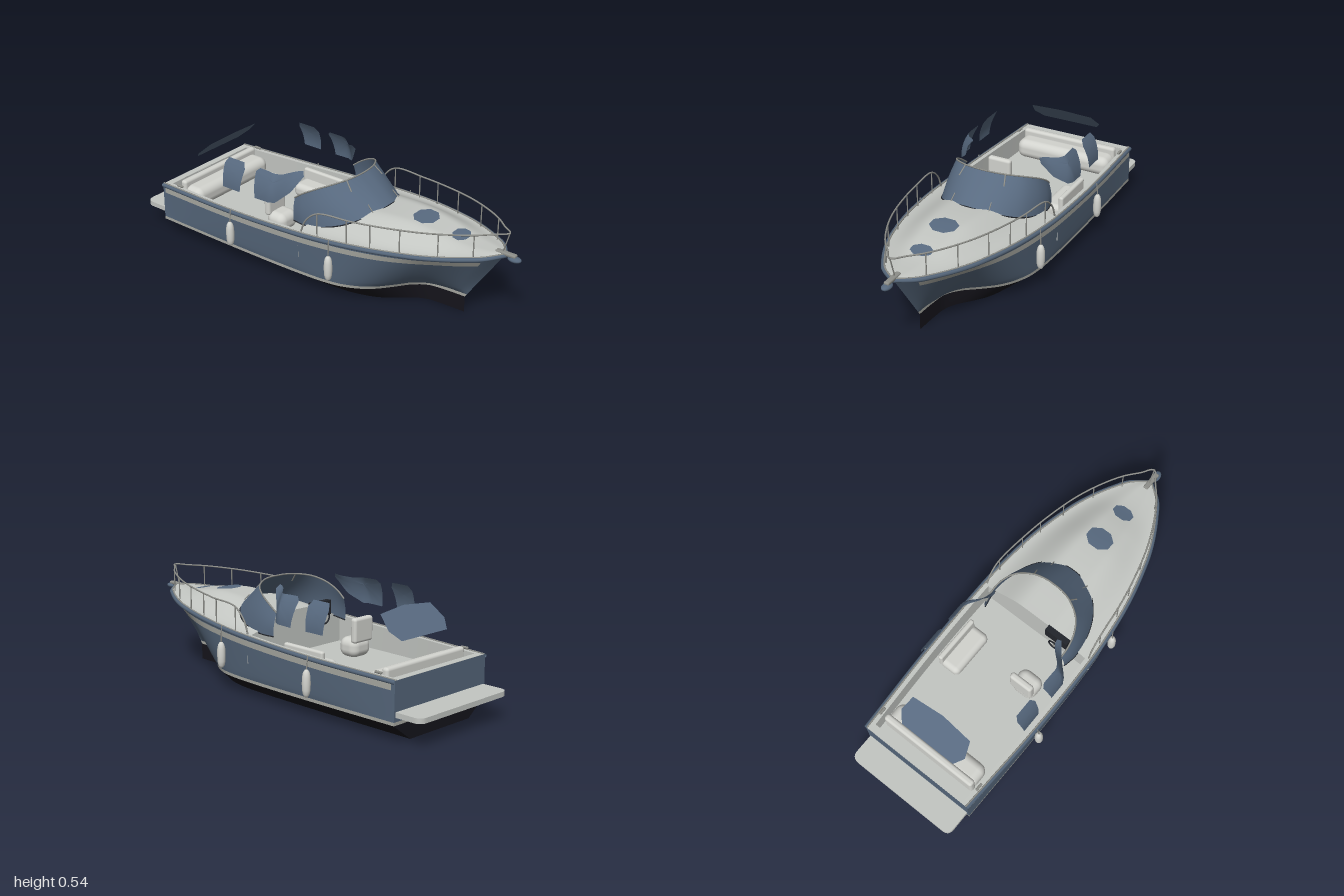
import * as THREE from 'three';
import { RoundedBoxGeometry } from 'three/addons/geometries/RoundedBoxGeometry.js';

const paint = (name, color) => new THREE.MeshStandardMaterial({ name, color, side: THREE.DoubleSide });
const V = (x, y, z) => new THREE.Vector3(x, y, z);
const { lerp, smoothstep } = THREE.MathUtils;

// Smooth interpolation through [x, value] pairs
function spline(t) {
  const slope = i => {
    const a = t[Math.max(i - 1, 0)], b = t[Math.min(i + 1, t.length - 1)];
    return (b[1] - a[1]) / (b[0] - a[0]);
  };
  return x => {
    let i = 0;
    while (i < t.length - 2 && x > t[i + 1][0]) i++;
    const d = t[i + 1][0] - t[i][0], s = Math.min(1, Math.max(0, (x - t[i][0]) / d)), s2 = s * s, s3 = s2 * s;
    return Math.max(0, t[i][1] * (2 * s3 - 3 * s2 + 1) + t[i + 1][1] * (3 * s2 - 2 * s3)
      + d * (slope(i) * (s3 - 2 * s2 + s) + slope(i + 1) * (s3 - s2)));
  };
}

// Surface from a rule P(u, v), both running 0..1
function surface(P, nu, nv) {
  const pos = [], idx = [];
  for (let i = 0; i <= nu; i++) for (let j = 0; j <= nv; j++) {
    const p = P(i / nu, j / nv);
    pos.push(p.x, p.y, p.z);
    if (i < nu && j < nv) {
      const a = i * (nv + 1) + j, b = a + nv + 1;
      idx.push(a, b, a + 1, b, b + 1, a + 1);
    }
  }
  const g = new THREE.BufferGeometry();
  g.setAttribute('position', new THREE.Float32BufferAttribute(pos, 3));
  g.setIndex(idx);
  g.computeVertexNormals();
  return g;
}

// Hull lines; the waterline pinches into a thin forefoot
const STERN = -0.865, BOW = 0.925, FLOOR = 0.175, BULKHEAD = 0.02;
const sheerY = spline([[STERN, 0.275], [-0.4, 0.286], [0, 0.305], [0.4, 0.332], [0.7, 0.352], [BOW, 0.37]]);
const sheerW = spline([[STERN, 0.302], [-0.4, 0.322], [0, 0.323], [0.2, 0.31], [0.4, 0.28], [0.6, 0.226], [0.7, 0.184], [0.8, 0.128], [0.88, 0.068], [BOW, 0]]);
const waterW = spline([[STERN, 0.305], [-0.4, 0.31], [0, 0.305], [0.2, 0.287], [0.3, 0.25], [0.37, 0.2], [0.43, 0.13], [0.48, 0.065], [0.54, 0.02], [0.62, 0.006], [0.73, 0]]);
const crown = spline([[0, 0.075], [0.2, 0.081], [0.45, 0.08], [0.6, 0.056], [0.75, 0.02], [BOW, 0.003]]);

// Hull side: v -2..-1 bottom paint, -1..0 boot stripe, 0..1 full-bodied topsides
function hullPoint(u, v) {
  const xw = lerp(STERN, 0.73, u), xs = lerp(STERN, BOW, u), w = waterW(xw);
  if (v <= -1) return V(xw, 0.08 * (v + 2), w * lerp(0.65, 1, v + 2));
  if (v <= 0) return V(xw + 0.01 * u * (v + 1), 0.08 + 0.015 * (v + 1), w);
  return V(lerp(xw + 0.01 * u, xs, v), lerp(0.095, sheerY(xs), v), lerp(w, sheerW(xs), v ** 0.6));
}
const deckY = (x, z) => sheerY(x) + crown(x) * (1 - smoothstep(Math.abs(z) / (sheerW(x) + 1e-4), 0.25, 0.95));

export function createModel() {
  const blue = paint('hullBlue', 0x55667a);
  const glass = paint('tintedGlass', 0x586a80);
  const white = paint('deckWhite', 0xc3c6c2);
  const stripe = paint('stripeGrey', 0xa8a9a2);
  const bottom = paint('bottomPaint', 0x15141b);
  const metal = paint('railMetal', 0x8d8e89);
  const black = paint('consoleBlack', 0x22252b);
  const cushion = paint('cushionWhite', 0xd2d3ce);

  const boat = new THREE.Group();
  boat.name = 'motorBoat';
  const add = (name, geo, mat, x = 0, y = 0, z = 0) => {
    const m = new THREE.Mesh(geo, mat);
    m.name = name;
    m.position.set(x, y, z);
    boat.add(m);
    return m;
  };
  const tube = (name, pts, r, mat) =>
    add(name, new THREE.TubeGeometry(new THREE.CatmullRomCurve3(pts), pts.length * 6, r, 8), mat);
  const pad = (name, w, h, d, x, y, z, mat = cushion) =>
    add(name, new RoundedBoxGeometry(w, h, d, 4, Math.min(w, h, d) * 0.4), mat, x, y, z);

  // Hull sides and transom in three bands
  for (const [name, a, b, mat, n] of [['bottomHull', -2, -1, bottom, 2], ['bootStripe', -1, 0, stripe, 1], ['topsides', 0, 1, blue, 16]]) {
    for (const s of [1, -1]) add(name, surface((u, v) => {
      const p = hullPoint(u, lerp(a, b, v));
      p.z *= s;
      return p;
    }, 80, n), mat);
    add(name + 'Transom', surface((u, v) => {
      const p = hullPoint(0, lerp(a, b, v));
      p.z *= 2 * u - 1;
      return p;
    }, 1, n), mat);
  }

  for (const s of [1, -1]) {
    // Painted side stripe and rub rail
    add('sideStripe', surface((u, v) => {
      const p = hullPoint(lerp(0.01, 0.969, u), lerp(lerp(0.76, 0.78, u), lerp(0.93, 0.88, u), v));
      p.z = s * (p.z + 0.004);
      return p;
    }, 70, 2), stripe);
    const edge = [];
    for (let i = 0; i <= 28; i++) {
      const x = lerp(STERN, BOW, i / 28);
      edge.push(V(x, sheerY(x) - 0.008, s * sheerW(x)));
    }
    tube('rubRail', edge, 0.01, blue);
    tube('toeRail', edge.map(p => V(p.x, p.y + 0.009, p.z - s * Math.min(0.006, Math.abs(p.z)))), 0.004, metal);

    // Cockpit side deck, lining and floor
    const inner = x => sheerW(x) - 0.03;
    const cx = u => lerp(STERN, BULKHEAD, u);
    add('sideDeck', surface((u, v) => V(cx(u), sheerY(cx(u)), s * lerp(inner(cx(u)), sheerW(cx(u)), v)), 20, 1), white);
    add('cockpitLining', surface((u, v) => V(cx(u), lerp(FLOOR, sheerY(cx(u)), v), s * inner(cx(u))), 20, 1), white);
    add('cockpitFloor', surface((u, v) => V(cx(u), FLOOR, s * v * inner(cx(u))), 20, 1), white);
  }
  add('sternDeck', new THREE.BoxGeometry(0.035, 0.005, 0.58), white, -0.846, 0.273, 0);
  add('sternLining', new THREE.BoxGeometry(0.005, 0.1, 0.56), white, -0.83, 0.224, 0);

  // Foredeck with raised cabin top, and the bulkhead below it
  add('foredeck', surface((u, v) => {
    const x = lerp(BULKHEAD, BOW, u), z = (2 * v - 1) * sheerW(x);
    return V(x, deckY(x, z), z);
  }, 48, 40), white);
  add('cabinBulkhead', surface((u, v) => {
    const z = (2 * u - 1) * (sheerW(BULKHEAD) - 0.004);
    return V(BULKHEAD, lerp(FLOOR, deckY(BULKHEAD, z), v), z);
  }, 40, 1), white);

  // Deck hatches following the deck
  for (const [x, rx, rz] of [[0.508, 0.058, 0.07], [0.696, 0.038, 0.056]])
    add('deckHatch', surface((u, v) => {
      const a = -u * Math.PI * 2 + Math.PI / 8;
      const px = x + rx * v * Math.cos(a), pz = rz * v * Math.sin(a);
      return V(px, deckY(px, pz) + 0.005, pz);
    }, 8, 4), glass);

  // Wraparound windshield with frame, mullions and wipers
  const mirror = half => new THREE.CatmullRomCurve3(
    [...half.map(p => V(...p)), ...half.slice(0, -1).reverse().map(p => V(p[0], p[1], -p[2]))]);
  const low = mirror([[-0.07, 0.305, 0.238], [0, 0.308, 0.25], [0.09, 0.322, 0.242], [0.19, 0.35, 0.205], [0.262, 0.382, 0.14], [0.298, 0.403, 0.06], [0.304, 0.408, 0]]);
  const high = mirror([[-0.075, 0.415, 0.222], [-0.03, 0.448, 0.224], [0.03, 0.482, 0.212], [0.09, 0.508, 0.175], [0.135, 0.522, 0.105], [0.15, 0.526, 0.045], [0.152, 0.526, 0]]);
  const screen = (u, v) => {
    const p = low.getPoint(u).lerp(high.getPoint(u), v);
    p.z *= 1 + 0.03 * Math.sin(Math.PI * v);
    return p;
  };
  add('windshield', surface(screen, 60, 8), glass);
  add('windshieldTopFrame', new THREE.TubeGeometry(high, 60, 0.004, 6), metal);
  add('windshieldBase', new THREE.TubeGeometry(low, 60, 0.003, 6), black);
  for (const u of [0.335, 0.665]) {
    tube('windshieldMullion', [0.7, 0.85, 1].map(v => screen(u, v)), 0.0035, metal);
    tube('wiper', [0.02, 0.14, 0.26].map(v => screen(lerp(u, 0.5, 0.25), v).add(V(0.004, 0.003, 0))), 0.0025, metal);
  }

  // Curved side windows, the forward pair bending in toward the windshield
  const panes = [
    [[-0.46, 0.5], [-0.445, 0.527], [-0.35, 0.527], [-0.333, 0.5], [-0.345, 0.39], [-0.45, 0.39]],
    [[-0.268, 0.51], [-0.25, 0.527], [-0.19, 0.526], [-0.13, 0.522], [-0.055, 0.541], [-0.042, 0.52], [-0.09, 0.44], [-0.14, 0.393], [-0.25, 0.39]],
  ];
  for (const s of [1, -1]) for (const pts of panes) {
    const c = pts.reduce((a, p) => [a[0] + p[0] / pts.length, a[1] + p[1] / pts.length], [0, 0]);
    add('sideWindow', surface((u, v) => {
      const k = Math.round(u * pts.length * 4), i = Math.floor(k / 4) % pts.length, f = (k % 4) / 4;
      const a = pts[i], b = pts[(i + 1) % pts.length];
      const x = lerp(c[0], lerp(a[0], b[0], f), v), y = lerp(c[1], lerp(a[1], b[1], f), v);
      const z = 0.304 - 0.045 * Math.max(0, (y - 0.39) / 0.135) ** 2 - 0.068 * smoothstep(x, -0.17, -0.07);
      return V(x, y, s * z);
    }, pts.length * 4, 5), glass);
  }

  // Sloping rear window
  const rear = new THREE.Shape([[-0.15, 0], [0.15, 0], [0.185, 0.06], [0.165, 0.15], [0, 0.168], [-0.165, 0.15], [-0.185, 0.06]]
    .map(p => new THREE.Vector2(...p)));
  const rearWindow = add('rearWindow', new THREE.ShapeGeometry(rear), glass, -0.767, 0.397, 0);
  rearWindow.rotation.set(0, -Math.PI / 2, 0);
  rearWindow.rotateX(-0.83);

  // Swim platform, rounded aft corners
  const plan = new THREE.Shape();
  plan.moveTo(-0.86, -0.295).lineTo(-0.96, -0.295).quadraticCurveTo(-1, -0.295, -1, -0.255)
    .lineTo(-1, 0.255).quadraticCurveTo(-1, 0.295, -0.96, 0.295).lineTo(-0.86, 0.295);
  const platform = new THREE.ExtrudeGeometry(plan, { depth: 0.024, bevelEnabled: false });
  add('swimPlatform', platform.rotateX(Math.PI / 2), white, 0, 0.139, 0);

  // Seating
  pad('sternBench', 0.12, 0.1, 0.52, -0.72, 0.224, 0);
  pad('sternBackrest', 0.035, 0.12, 0.52, -0.768, 0.242, 0);
  pad('sideBench', 0.245, 0.07, 0.11, -0.278, 0.21, -0.2);
  pad('sideBackrest', 0.245, 0.1, 0.025, -0.278, 0.248, -0.245);
  pad('helmSeat', 0.11, 0.095, 0.125, -0.225, 0.222, 0.143);
  pad('helmBackrest', 0.034, 0.12, 0.125, -0.268, 0.31, 0.143);

  // Helm console and wheel
  add('helmConsole', new THREE.BoxGeometry(0.03, 0.07, 0.125), black, 0.005, 0.365, 0.14);
  const wheel = add('steeringWheel', new THREE.TorusGeometry(0.031, 0.004, 8, 24), black, -0.025, 0.325, 0.143);
  wheel.rotation.y = Math.PI / 2;
  const column = add('steeringColumn', new THREE.CylinderGeometry(0.007, 0.007, 0.05, 10), metal, -0.005, 0.325, 0.143);
  column.rotation.z = Math.PI / 2;

  const fender = new THREE.LatheGeometry([[0, -0.064], [0.008, -0.061], [0.015, -0.05], [0.019, -0.03], [0.02, 0], [0.019, 0.03],
    [0.015, 0.05], [0.008, 0.061], [0, 0.064]].map(p => new THREE.Vector2(...p)), 18);
  const railY = spline([[0.12, 0.425], [0.3, 0.437], [0.5, 0.449], [0.7, 0.461], [0.94, 0.474]]);
  for (const s of [1, -1]) {
    // Bow rail with upright posts
    const railAt = x => V(x, railY(x), s * (sheerW(x) - 0.016));
    tube('bowRail', [V(0.03, 0.31, s * 0.306), V(0.055, 0.37, s * 0.305), ...[0.12, 0.3, 0.45, 0.6, 0.72, 0.82, 0.89].map(railAt),
      V(0.928, 0.474, s * 0.014), V(0.936, 0.474, 0)], 0.004, metal);
    for (const x of [0.12, 0.275, 0.39, 0.526, 0.687, 0.82]) {
      const top = railAt(x);
      tube('railPost', [V(x, sheerY(x) - 0.005, top.z), top], 0.003, metal);
    }

    // Fenders on short ropes that lie outside the topsides
    for (const [x, y, z] of [[-0.385, 0.17, 0.338], [0.2, 0.183, 0.322]]) {
      add('fender', fender, cushion, x, y, s * z);
      tube('fenderRope', [V(x, y + 0.06, s * z), V(x, sheerY(x) + 0.005, s * (sheerW(x) + 0.008))], 0.003, metal);
    }
    pad('sternCleat', 0.04, 0.012, 0.012, -0.76, 0.288, s * 0.288, metal);
  }
  tube('bowPost', [V(0.905, 0.365, 0), V(0.936, 0.474, 0)], 0.003, metal);

  // Anchor and roller at the stem
  pad('anchorRoller', 0.1, 0.016, 0.026, 0.925, 0.372, 0, metal);
  add('anchor', new THREE.SphereGeometry(1, 20, 12).scale(0.033, 0.013, 0.022), blue, 0.967, 0.357, 0);

  return boat;
}
